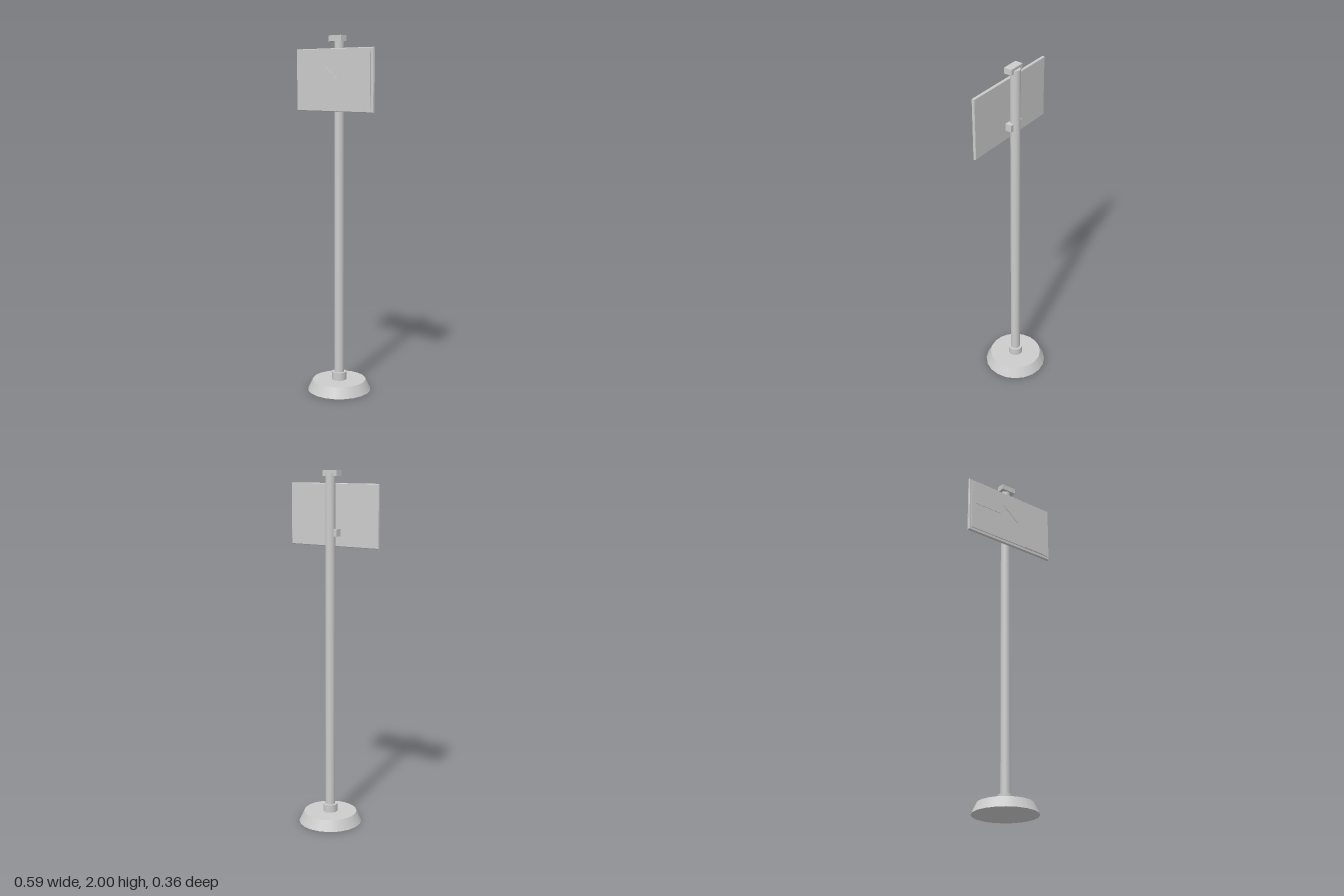
import * as THREE from 'three';

export function createModel() {
  const group = new THREE.Group();
  const material = new THREE.MeshStandardMaterial({ color: 0xcccccc });

  function add(name, geometry, x, y, z) {
    const mesh = new THREE.Mesh(geometry, material);
    mesh.name = name;
    mesh.position.set(x, y, z);
    group.add(mesh);
    return mesh;
  }
  const box = (name, w, h, d, x, y, z) => add(name, new THREE.BoxGeometry(w, h, d), x, y, z);
  // Upright cylinder standing between two heights
  const column = (name, rTop, rBottom, y0, y1, sides) =>
    add(name, new THREE.CylinderGeometry(rTop, rBottom, y1 - y0, sides), 0, (y0 + y1) / 2, 0);

  // Stand
  column('base', 0.152, 0.18, 0, 0.06, 20);
  column('collar', 0.041, 0.041, 0.06, 0.105, 20);
  column('pole', 0.027, 0.027, 0.06, 1.985, 20);

  // Brackets holding the display to the pole
  box('topBracket', 0.094, 0.032, 0.045, 0, 1.984, 0.0125);
  box('lowerBracket', 0.094, 0.04, 0.04, 0, 1.665, 0.012);

  // Display housing with a narrow chamfer all round
  const bevel = 0.003, w = 0.59 / 2 - bevel, h = 0.342 / 2 - bevel;
  const outline = new THREE.Shape();
  outline.moveTo(-w, -h).lineTo(w, -h).lineTo(w, h).lineTo(-w, h).closePath();
  const housing = new THREE.ExtrudeGeometry(outline, {
    depth: 0.011, bevelEnabled: true, bevelSize: bevel, bevelThickness: bevel, bevelSegments: 1,
  });
  add('displayHousing', housing, 0, 1.759, 0.0315);
  box('screen', 0.56, 0.309, 0.006, 0, 1.7605, 0.048);

  // Fine raised strips just ahead of the screen
  const strips = [
    ['leftStrip', -0.255, 1.77, -0.075, 1.77],
    ['diagonalStrip', -0.056, 1.835, 0.054, 1.75],
    ['lowerStrip', 0.1, 1.606, 0.24, 1.606],
  ];
  for (const [name, x0, y0, x1, y1] of strips) {
    const length = Math.hypot(x1 - x0, y1 - y0);
    const strip = box(name, length, 0.004, 0.003, (x0 + x1) / 2, (y0 + y1) / 2, 0.0565);
    strip.rotation.z = Math.atan2(y1 - y0, x1 - x0);
  }

  return group;
}
